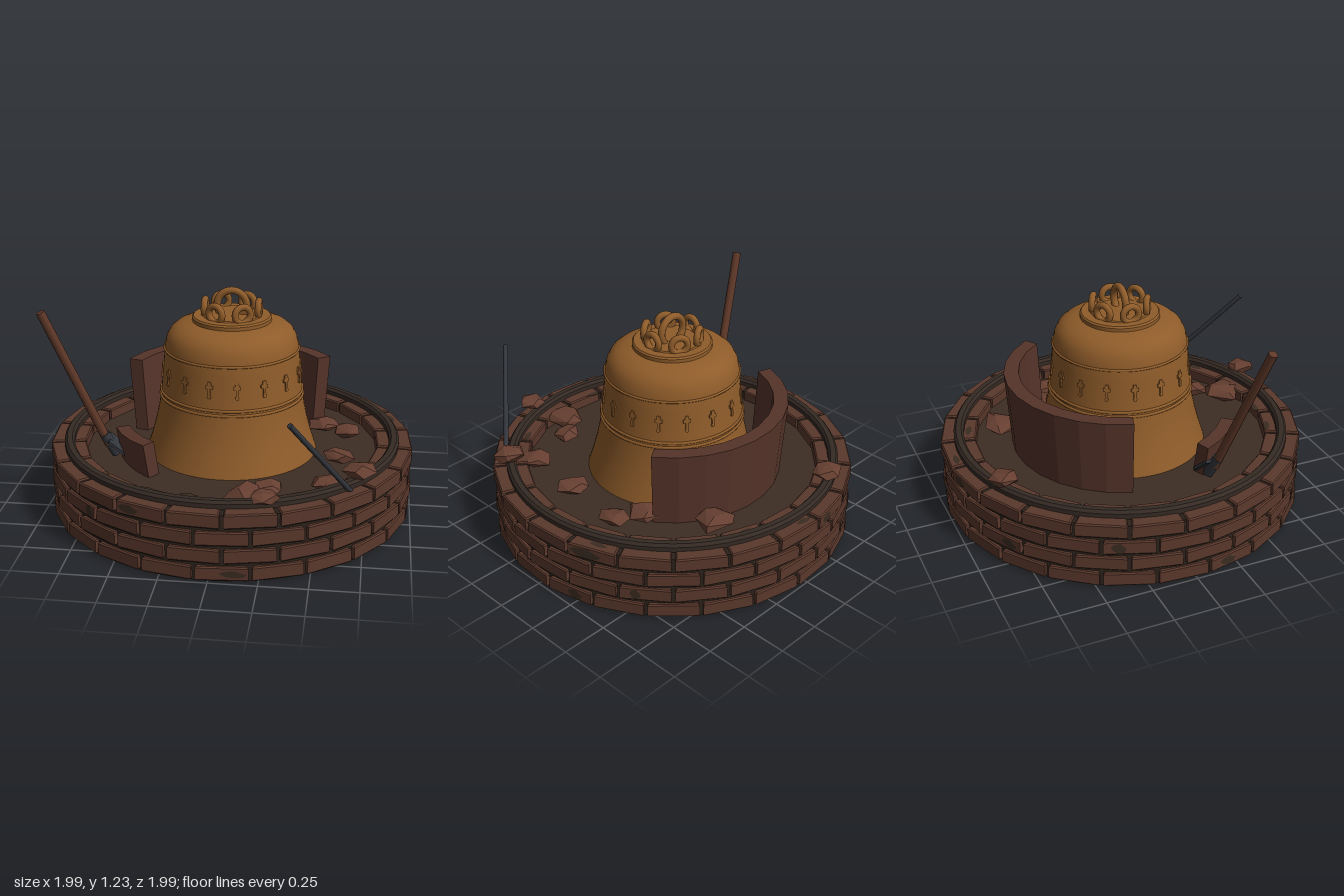
import * as THREE from 'three';
import { toCreasedNormals } from 'three/addons/utils/BufferGeometryUtils.js';
import { ConvexGeometry } from 'three/addons/geometries/ConvexGeometry.js';

const mat = (name, color, flatShading = false) => {
  const m = new THREE.MeshStandardMaterial({ color, flatShading });
  m.name = name;
  return m;
};
const V2 = (x, y) => new THREE.Vector2(x, y);
const V3 = (x, y, z) => new THREE.Vector3(x, y, z);

export function createModel() {
  const bronze = mat('bronze', 0x8f5c2a);
  const brick = mat('brick', 0x5a382c);
  const clay = mat('burnt clay', 0x56342a);
  const rubbleMat = mat('rubble', 0x663f31);
  const mortar = mat('mortar', 0x2c221b);
  const soil = mat('soil', 0x3d2d24);
  const soot = mat('soot', 0x3a2b20);
  const iron = mat('iron', 0x33363c);
  const ringMat = mat('dark ring', 0x352a24);
  const wood = mat('wood', 0x5f3828);

  const root = new THREE.Group();
  root.name = 'bellOnBrickBase';
  const add = (name, geo, m, parent = root) => {
    const mesh = new THREE.Mesh(geo, m);
    mesh.name = name;
    parent.add(mesh);
    return mesh;
  };
  const group = (name, parent = root) => {
    const g = new THREE.Group();
    g.name = name;
    parent.add(g);
    return g;
  };
  const lathe = (pts, seg = 64, crease = 0.6) =>
    toCreasedNormals(new THREE.LatheGeometry(pts.map(p => V2(...p)), seg), crease);
  let seed = 7;
  const rnd = () => (seed = (seed * 16807) % 2147483647) / 2147483647;

  // Mortar core with a sunken floor
  add('mortarCore', lathe([[0, 0], [0.975, 0], [0.975, 0.36], [0.82, 0.36], [0.82, 0.3], [0, 0.3]]), mortar);
  add('soilFloor', new THREE.CylinderGeometry(0.825, 0.825, 0.03, 64).translate(0, 0.297, 0), soil);

  // Four staggered courses of wedge bricks
  const COUNT = 22, STEP = Math.PI * 2 / COUNT, OUT = 0.99, IN = 0.8, H = 0.077, B = 0.007;
  const courseY = row => 0.008 + row * 0.0955;
  const offset = row => (row % 2 ? -1 : 1) * STEP / 4;
  const half = r => r * Math.tan(STEP / 2) - 0.01;
  const brickShape = new THREE.Shape([
    V2(-half(OUT), -OUT), V2(half(OUT), -OUT), V2(half(IN), -IN), V2(-half(IN), -IN)]);
  const brickGeo = new THREE.ExtrudeGeometry(brickShape, {
    depth: H - 2 * B, bevelEnabled: true, bevelSize: B, bevelOffset: -B, bevelThickness: B, bevelSegments: 1,
  }).rotateX(-Math.PI / 2).translate(0, B, 0);
  const courses = group('brickCourses');
  for (let row = 0; row < 4; row++) {
    for (let i = 0; i < COUNT; i++) {
      const b = add('brick', brickGeo, brick, courses);
      b.position.y = courseY(row);
      b.rotation.y = offset(row) + i * STEP;
    }
  }

  // Soot marks on brick faces: row, angle, width, height
  const blob = (w, h) => new THREE.ShapeGeometry(new THREE.Shape(
    [[-0.5, 0.1], [-0.3, -0.3], [0, -0.5], [0.35, -0.4], [0.5, 0], [0.25, 0.25], [0.1, 0.5], [-0.3, 0.4]]
      .map(([x, y]) => V2(x * w, y * h))));
  const marks = group('sootMarks');
  [[2, -0.66, 0.07, 0.07], [3, -0.44, 0.12, 0.05], [0, 0.15, 0.14, 0.04], [3, 1.87, 0.18, 0.06],
    [0, 1.82, 0.09, 0.06], [1, 2.16, 0.06, 0.06], [3, 3.3, 0.1, 0.05], [1, 3.7, 0.1, 0.05],
    [2, 4.3, 0.08, 0.06], [0, 4.9, 0.1, 0.05]].forEach(([row, a, w, h]) => {
    const c = offset(row) + Math.round((a - offset(row)) / STEP) * STEP;
    const lim = half(OUT) - B - w / 2;
    const m = add('sootMark', blob(w, h), soot, marks);
    const g = m.geometry;
    g.translate(THREE.MathUtils.clamp(OUT * Math.tan(a - c), -lim, lim), courseY(row) + H / 2, OUT + 0.002);
    m.rotation.y = c;
  });
  [[0, -0.95], [0.27, -0.8], [-0.33, 0.75], [-0.12, 0.79], [0.47, 0.7], [0.88, -0.35]].forEach(([x, z]) => {
    const m = add('topSootMark', blob(0.1, 0.035).rotateX(-Math.PI / 2), soot, marks);
    m.position.set(x, courseY(3) + H + 0.002, z);
    m.rotation.y = Math.atan2(x, z);
  });

  // Metal ring on the rim
  add('rimRing', lathe([[0.87, 0.365], [0.925, 0.365], [0.925, 0.395], [0.912, 0.41],
    [0.883, 0.41], [0.87, 0.395], [0.87, 0.365]], 64, 0.4), ringMat);

  // Bell
  const bell = group('bell');
  add('bellBody', lathe([[0.45, 0.3], [0.47, 0.31], [0.462, 0.335], [0.438, 0.41], [0.417, 0.49],
    [0.4, 0.57], [0.387, 0.66], [0.377, 0.75], [0.37, 0.83], [0.363, 0.91], [0.352, 0.96], [0.332, 0.997],
    [0.3, 1.023], [0.26, 1.04], [0.2, 1.052], [0, 1.056]], 72), bronze, bell);
  [[0.9, 0.365, 0.007], [0.665, 0.387, 0.008], [0.64, 0.39, 0.008]].forEach(([y, r, t]) =>
    add('bellBand', new THREE.TorusGeometry(r, t, 8, 72).rotateX(Math.PI / 2).translate(0, y, 0), bronze, bell));
  add('crownPlate', lathe([[0.215, 1.03], [0.215, 1.068], [0.207, 1.077], [0.16, 1.077],
    [0.155, 1.083], [0, 1.083]], 64, 0.4), bronze, bell);

  // Raised crosses around the waist
  const crossHalf = [[0.007, -0.048], [0.011, -0.038], [0.007, -0.03], [0.007, 0.004], [0.02, 0.004],
    [0.02, 0.022], [0.011, 0.024], [0.009, 0.042]];
  const crossGeo = new THREE.ExtrudeGeometry(new THREE.Shape([
    ...crossHalf.map(([x, y]) => V2(x, y)),
    ...[...crossHalf].reverse().map(([x, y]) => V2(-x, y))]), { depth: 0.018, bevelEnabled: false })
    .rotateX(-0.1).translate(0, 0.775, 0.364);
  for (let i = 0; i < 16; i++) {
    add('waistCross', crossGeo, bronze, bell).rotation.y = (i + 0.5) * Math.PI / 8;
  }

  // Crown loops: one tall arch and six small loops around it
  add('crownArch', new THREE.TorusGeometry(0.08, 0.02, 10, 32).translate(0, 1.13, 0), bronze, bell);
  const loopGeo = new THREE.TorusGeometry(0.044, 0.018, 10, 24).translate(0, 1.112, 0.145);
  for (let i = 0; i < 6; i++) {
    add('crownLoop', loopGeo, bronze, bell).rotation.y = Math.PI / 6 + i * Math.PI / 3;
  }

  // Curved, slightly flared wall pieces behind and beside the bell
  const shard = (name, a0, a1, r0, r1, h, n, flare) => {
    const pts = [];
    const at = (r, i) => {
      const a = a0 + (a1 - a0) * i / n;
      return V2(r * Math.sin(a), -r * Math.cos(a));
    };
    for (let i = 0; i <= n; i++) pts.push(at(r1, i));
    for (let i = n; i >= 0; i--) pts.push(at(r0, i));
    const g = new THREE.ExtrudeGeometry(new THREE.Shape(pts), { depth: h, bevelEnabled: false }).rotateX(-Math.PI / 2);
    const p = g.attributes.position;
    for (let i = 0; i < p.count; i++) {
      const k = 1 + flare * (p.getY(i) / h - 1);
      p.setX(i, p.getX(i) * k);
      p.setZ(i, p.getZ(i) * k);
    }
    g.computeVertexNormals();
    return add(name, g, clay);
  };
  shard('tallWallPiece', 2.18, 4.42, 0.555, 0.635, 0.43, 10, 0.05).position.y = 0.305;
  const small = shard('smallWallPiece', -1.18, -0.66, 0.565, 0.64, 0.19, 3, 0.03);
  small.position.y = 0.335;
  small.rotation.z = 0.06;
  small.position.y -= 0.0;

  // Rod between two points
  const rod = (name, a, b, r, m, parent = root) => {
    const d = b.clone().sub(a);
    const mesh = add(name, new THREE.CylinderGeometry(r, r, d.length(), 10), m, parent);
    mesh.position.copy(a).lerp(b, 0.5);
    mesh.quaternion.setFromUnitVectors(V3(0, 1, 0), d.normalize());
  };
  rod('ironBar', V3(0.715, 0.31, 0.595), V3(0.39, 0.838, 0.95), 0.014, iron);

  // Shovel stuck in the floor
  const shovel = group('shovel');
  rod('shovelHandle', V3(-0.64, 0.4, 0.265), V3(-0.945, 1.17, 0.39), 0.024, wood, shovel);
  rod('shovelSocket', V3(-0.6, 0.34, 0.25), V3(-0.66, 0.46, 0.273), 0.029, iron, shovel);
  const blade = add('shovelBlade', new THREE.ExtrudeGeometry(new THREE.Shape([
    V2(-0.055, 0.08), V2(-0.055, -0.05), V2(0, -0.1), V2(0.055, -0.05), V2(0.055, 0.08)]),
  { depth: 0.016, bevelEnabled: false }), iron, shovel);
  blade.position.set(-0.585, 0.375, 0.25);
  blade.up.set(-0.72, 0.67, 0.18);
  blade.lookAt(-0.585 + 0.67, 0.375 + 0.72, 0.25);

  // Broken rubble: x, z, radius, base height
  const rubble = group('rubble');
  [[-0.37, -0.81, 0.085, 0.405], [0.72, 0.54, 0.088, 0.405], [0.27, 0.9, 0.08, 0.405],
    [0.3, -0.6, 0.11, 0.315], [0.5, -0.28, 0.085, 0.315], [0.63, -0.2, 0.08, 0.315], [0.6, 0.16, 0.085, 0.315],
    [0.56, 0.51, 0.09, 0.315], [0.26, 0.6, 0.08, 0.315], [0.16, 0.73, 0.11, 0.315]].forEach(([x, z, r, y]) => {
    const pts = [];
    for (let i = 0; i < 13; i++) {
      const t = 1 - 2 * (i + 0.5) / 13, a = i * 2.4 + rnd() * 0.7, s = Math.sqrt(1 - t * t);
      const k = r * (0.85 + rnd() * 0.3);
      pts.push(V3(Math.cos(a) * s * k, t * k * 0.45, Math.sin(a) * s * k));
    }
    const m = add('rubbleChunk', new ConvexGeometry(pts), rubbleMat, rubble);
    m.position.set(x, y + r * 0.42, z);
    m.rotation.y = rnd() * 6;
  });

  return root;
}
